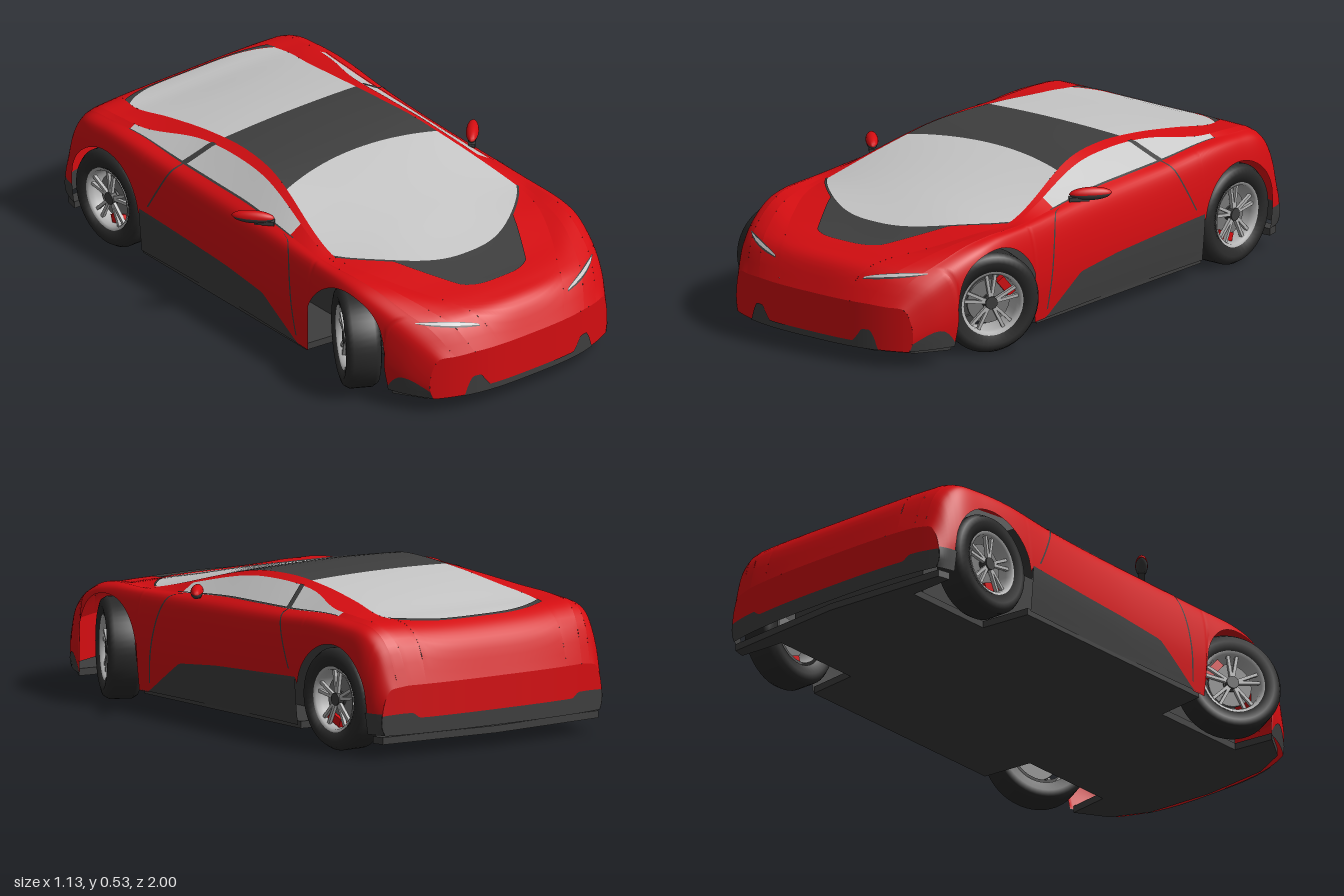
import * as THREE from 'three';

const mat = (name, color, side = THREE.DoubleSide) => {
  const m = new THREE.MeshStandardMaterial({ color, side });
  m.name = name;
  return m;
};
const RED = mat('red paint', 0xd40d11), DARK = mat('dark trim', 0x3e3e3e), GLASS = mat('pale glass', 0xc6c6c6),
  TYRE = mat('tyre rubber', 0x2a2a2a), METAL = mat('wheel metal', 0xb4b4b4), DISC = mat('brake disc', 0x777777);

const lerp = THREE.MathUtils.lerp, smooth = THREE.MathUtils.smoothstep;
const table = (pts, t) => { // piecewise linear, ascending
  if (t <= pts[0][0]) return pts[0][1];
  for (let i = 1; i < pts.length; i++)
    if (t <= pts[i][0]) return lerp(pts[i - 1][1], pts[i][1], (t - pts[i - 1][0]) / (pts[i][0] - pts[i - 1][0]));
  return pts[pts.length - 1][1];
};

// Stations from tail to nose: s, centre y, then x,y of glass edge, rail, window base, shoulder
const STATIONS = [
  [-1, .25, .30, .25, .37, .25, .41, .245, .44, .235],
  [-.96, .37, .30, .37, .38, .37, .42, .365, .455, .34],
  [-.88, .435, .30, .438, .40, .438, .43, .432, .47, .405],
  [-.75, .457, .325, .457, .41, .459, .435, .45, .475, .425],
  [-.6, .487, .305, .481, .40, .468, .425, .452, .475, .43],
  [-.4, .515, .29, .508, .34, .498, .425, .44, .47, .415],
  [-.2, .528, .29, .522, .33, .508, .425, .435, .467, .405],
  [0, .517, .315, .51, .345, .495, .425, .43, .467, .4],
  [.4, .44, .40, .408, .42, .406, .445, .405, .475, .39],
  [.58, .4, .37, .395, .40, .4, .44, .405, .477, .385],
  [.75, .367, .30, .37, .37, .383, .42, .385, .47, .365],
  [.88, .345, .22, .345, .32, .345, .39, .342, .445, .325],
  [.95, .315, .18, .31, .28, .305, .35, .295, .41, .275],
  [1, .22, .14, .22, .24, .22, .31, .215, .36, .21],
];
function station(s) {
  const T = STATIONS, n = T.length;
  let i = 0;
  while (i < n - 2 && s > T[i + 1][0]) i++;
  const h = T[i + 1][0] - T[i][0], t = (s - T[i][0]) / h;
  const slope = (j, c) => {
    const a = T[Math.max(j - 1, 0)], b = T[Math.min(j + 1, n - 1)];
    return (b[c] - a[c]) / (b[0] - a[0]);
  };
  return T[i].map((p, c) => {
    const q = T[i + 1][c], t2 = t * t, t3 = t2 * t;
    return (2 * t3 - 3 * t2 + 1) * p + (t3 - 2 * t2 + t) * h * slope(i, c)
      + (3 * t2 - 2 * t3) * q + (t3 - t2) * h * slope(i + 1, c);
  });
}
// Nose and tail are rounded in plan
const sweep = (s, x) => s - .12 * smooth(s, .5, .95) * Math.abs(x / .45) ** 3
  + .04 * smooth(-s, .8, 1) * Math.abs(x / .48) ** 3;
// Body surface: k runs 0 centre, 1 glass edge, 2 rail, 3 window base, 4 shoulder, 7 sill; negative k mirrors
function S(k, s) {
  const a = station(s), sg = k < 0 ? -1 : 1, x4 = a[8], y4 = a[9], low = s < -.8 ? .08 : .06;
  k = Math.min(Math.abs(k), 7);
  const P = [[0, a[1]], [a[2], a[3]], [a[4], a[5]], [a[6], a[7]], [x4, y4],
    [x4 + .022, y4 * .8], [x4 + .03, y4 * .5], [x4 + .018, low]];
  const i = Math.min(Math.floor(k), 6), f = k - i;
  let x, y;
  if (i < 3) {
    x = lerp(P[i][0], P[i + 1][0], f);
    y = lerp(P[i][1], P[i + 1][1], i ? f : f * f);
  } else {
    const A = P[Math.max(i - 1, 3)], B = P[i], C = P[i + 1], D = P[Math.min(i + 2, 7)];
    [x, y] = [0, 1].map(c => .5 * (2 * B[c] + (C[c] - A[c]) * f + (2 * A[c] - 5 * B[c] + 4 * C[c] - D[c]) * f * f
      + (3 * B[c] - A[c] - 3 * C[c] + D[c]) * f ** 3));
  }
  return [sg * x, y, sweep(s, x)];
}
// k on the flank where the height is y
function kAt(s, y) {
  let a = 3.5, b = 7;
  for (let i = 0; i < 22; i++) { const m = (a + b) / 2; S(m, s)[1] > y ? a = m : b = m; }
  return b;
}
const FRONT_Z = .58, REAR_Z = -.71, AXLE_Y = .177;
function paintLow(s) { // lower edge of the red flank, with wheel arches
  const z = S(5.5, s)[2];
  for (const c of [FRONT_Z, REAR_Z])
    if (Math.abs(z - c) < .19) return AXLE_Y + Math.sqrt(.19 ** 2 - (z - c) ** 2);
  if (z > .7) return .065;
  if (z < -.85) return .15;
  return table([[-.52, .225], [-.05, .2], [.15, .18], [.33, .06]], z);
}
// Front or rear face hanging from the end section
function endFace(k, v, s) {
  const p = S(k, s), e = S(4 + 3 * v, s), e0 = S(4, s), low = S(7, s)[1];
  const x = p[0] * e[0] / e0[0];
  return [x, p[1] + (e[1] - e0[1]) * (p[1] - low) / (e0[1] - low), sweep(s, x)];
}

export function createModel() {
  const root = new THREE.Group();
  const add = (name, geo, m, parent = root) => {
    const mesh = new THREE.Mesh(geo, m);
    mesh.name = name;
    parent.add(mesh);
    return mesh;
  };
  function grid(name, m, nu, nv, fn, flip = false) {
    const pos = [], idx = [], w = nu + 1;
    for (let j = 0; j <= nv; j++) for (let i = 0; i <= nu; i++) pos.push(...fn(i / nu, j / nv));
    for (let j = 0; j < nv; j++) for (let i = 0; i < nu; i++) {
      const a = j * w + i, b = a + 1, c = a + w, d = c + 1;
      idx.push(...(flip ? [a, c, b, b, c, d] : [a, b, c, b, d, c]));
    }
    const g = new THREE.BufferGeometry();
    g.setAttribute('position', new THREE.Float32BufferAttribute(pos, 3));
    g.setIndex(idx);
    g.computeVertexNormals();
    return add(name, g, m);
  }
  const lift = (p, o) => [p[0] + Math.sign(p[0]) * o * .7, p[1] + o * .7, p[2]];
  // Panel across the centre line, between two edges s = f(k)
  const across = (name, m, K, a, b, nv, o = 0) => grid(name, m, 28, nv, (u, v) => {
    const k = lerp(-K, K, u);
    return lift(S(k, lerp(a(k), b(k), v)), o);
  });
  // Mirrored pair of panels; fn returns [k, s]
  const pair = (name, m, nu, nv, fn, o = 0) => [1, -1].forEach(sg =>
    grid((sg > 0 ? 'left ' : 'right ') + name, m, nu, nv, (u, v) => {
      const [k, s] = fn(u, v);
      return lift(S(sg * k, s), o);
    }, sg < 0));

  // Centre panels from nose to tail
  const screen = k => .66 - .24 * Math.abs(k) ** 2.5, roofA = k => .02 + .05 * k * k,
    roofB = () => -.32, back = k => -.87 + .07 * k ** 4;
  across('hood', RED, 1, () => 1, screen, 28);
  across('windscreen', GLASS, 1, screen, roofA, 20);
  across('roof', DARK, 1, roofA, roofB, 10);
  across('rear window', GLASS, 1, roofB, back, 16);
  across('tail deck', RED, 1, back, () => -1, 14);
  across('windscreen seal', DARK, 1, k => screen(k) + .006, k => screen(k) - .008, 1, .003);
  across('rear window seal', DARK, 1, k => back(k) + .004, k => back(k) - .008 - .025 * k ** 4, 1, .003);
  grid('hood vent', DARK, 20, 12, (u, v) => {
    const t = 2 * u - 1, k = t * (.5 + .2 * v);
    return lift(S(k, lerp(.82 - .03 * t ** 4, screen(k), v)), .005);
  });

  // Roof rails, side windows and flanks
  pair('roof rail', RED, 4, 90, (u, v) => [1 + u, 1 - 2 * v]);
  pair('front fender top', RED, 4, 40, (u, v) => [2 + u, lerp(1, .22, v)]);
  pair('side window', GLASS, 4, 40, (u, v) => [2 + u, lerp(.22, -.66, v)]);
  pair('rear fender top', RED, 4, 20, (u, v) => [2 + u, lerp(-.66, -1, v)]);
  pair('flank', RED, 18, 180, (u, v) => {
    const s = 1 - 2 * v;
    return [lerp(3, kAt(s, paintLow(s)), u), s];
  });
  pair('window pillar', DARK, 6, 2, (u, v) => [1.9 + 1.1 * u, -.31 - .05 * u - .025 * v], .003);
  pair('window sill seal', DARK, 1, 30, (u, v) => [2.95 + .12 * u, lerp(.24, -.66, v)], .003);
  pair('rear door seam', DARK, 16, 1, (u, v) => [3 + 2.7 * u, -.37 - .1 * u * u - .007 * v], .002);
  pair('front door seam', DARK, 16, 1, (u, v) => [3.3 + 3.4 * u, .2 + .13 * Math.sqrt(u) - .007 * v], .002);
  pair('side skirt', DARK, 8, 50, (u, v) => {
    const s = lerp(.37, -.515, v);
    return [lerp(kAt(s, paintLow(s)) - .02, 7, u), s];
  }, .004);
  pair('rear bumper corner', DARK, 4, 8, (u, v) => {
    const s = lerp(-.925, -1, v);
    return [lerp(kAt(s, .155), 7, u), s];
  }, .002);
  pair('front bumper corner', DARK, 4, 8, (u, v) => {
    const s = lerp(.9, 1, v);
    return [lerp(6.8 - .7 * Math.sin(v * 2.4), 7, u), s];
  }, .003);
  for (const [name, m, w, o] of [['headlight surround', DARK, .02, .002], ['headlight', GLASS, .011, .005]])
    pair(name, m, 16, 2, (u, v) =>
      [1.2 + 2.1 * u, lerp(.96, .917, u) + w * (.5 - v) * Math.sin(Math.PI * (.08 + .84 * u))], o);

  // Nose face with intake trim, tail face with dark valance
  const face = (name, m, s, K, a, b, o) => grid(name, m, 70, 10, (u, v) => {
    const k = lerp(-K, K, u), p = endFace(k, lerp(a(k), b(k), v), s);
    return [p[0], p[1], p[2] + s * o];
  }, s > 0);
  const one = () => 1, zero = () => 0;
  const valance = k => .6 - .08 * smooth(Math.abs(k), 1, 1.5);
  face('nose', RED, 1, 4, zero, one, 0);
  face('front intake trim', DARK, 1, 2.4, k => table([[1.3, .82], [1.6, .56], [1.9, .56], [2.4, 1]], Math.abs(k)), one, .004);
  face('tail', RED, -1, 4, zero, valance, 0);
  face('rear valance', DARK, -1, 4, valance, one, 0);

  // Floor, waisted at the wheels, and inner tub
  const half = [[0, .98], [.25, .96], [.38, .9], [.45, .79], [.3, .77], [.3, .39], [.485, .37], [.485, -.52],
    [.3, -.54], [.3, -.9], [.47, -.91], [.46, -.955], [0, -.99]];
  const outline = [...half, ...half.slice(1, -1).reverse().map(([x, z]) => [-x, z])];
  const floor = new THREE.ExtrudeGeometry(new THREE.Shape(outline.map(([x, z]) => new THREE.Vector2(x, -z))),
    { depth: .025, bevelEnabled: false });
  add('floor', floor.rotateX(-Math.PI / 2), DARK).position.y = .05;
  add('inner tub', new THREE.BoxGeometry(.58, .26, 1.62), DARK).position.set(0, .2, -.03);

  // Door mirrors
  for (const sg of [1, -1]) {
    const g = new THREE.Group();
    g.name = sg > 0 ? 'left mirror' : 'right mirror';
    const cap = (top) => new THREE.SphereGeometry(1, 20, 8, 0, 2 * Math.PI, top ? 0 : Math.PI / 2, Math.PI / 2);
    add('mirror cap', cap(true), RED, g).scale.set(.075, .024, .022);
    add('mirror base', cap(false), DARK, g).scale.set(.072, .022, .021);
    add('mirror stem', new THREE.BoxGeometry(.07, .014, .025), DARK, g).position.set(-sg * .04, -.016, 0);
    g.position.set(sg * .482, .442, .075);
    g.rotation.y = sg * .85;
    root.add(g);
  }

  // Wheels: axis along x, outer face towards local +x
  const V = (x, y) => new THREE.Vector2(x, y);
  const tyreGeo = new THREE.LatheGeometry([V(.112, -.05), V(.145, -.062), V(.166, -.056), V(.177, -.038),
    V(.177, .038), V(.166, .056), V(.145, .062), V(.112, .05), V(.108, 0), V(.112, -.05)], 48).rotateZ(-Math.PI / 2);
  const rimGeo = new THREE.LatheGeometry([V(.102, -.05), V(.1, .03), V(.103, .05), V(.114, .054)], 48).rotateZ(-Math.PI / 2);
  const drum = (r, w) => new THREE.CylinderGeometry(r, r, w, 32).rotateZ(Math.PI / 2);
  function wheel(name, sg, z, steer) {
    const g = new THREE.Group();
    g.name = name;
    add('tyre', tyreGeo, TYRE, g);
    add('rim', rimGeo, METAL, g);
    add('brake disc', drum(.078, .01), DISC, g).position.x = .012;
    add('axle', drum(.025, .11), DARK, g).position.x = -.03;
    add('hub', drum(.022, .03), DARK, g).position.x = .032;
    for (let i = 0; i < 5; i++) for (const d of [-.16, .16]) {
      const spoke = new THREE.BoxGeometry(.012, .088, .011).translate(.036, .06, 0);
      add('spoke', spoke.rotateX(i * Math.PI * .4 + d), METAL, g);
    }
    const caliper = add('brake caliper', new THREE.BoxGeometry(.03, .03, .07), RED, g);
    const a = z > 0 ? .9 : 3.5;
    caliper.position.set(.015, .078 * Math.cos(a), -sg * .078 * Math.sin(a));
    caliper.rotation.x = -sg * a;
    g.position.set(sg * .435, AXLE_Y, z);
    g.rotation.y = (sg > 0 ? 0 : Math.PI) + steer;
    root.add(g);
  }
  for (const sg of [1, -1]) {
    const side = sg > 0 ? 'left' : 'right';
    wheel(side + ' front wheel', sg, FRONT_Z, -.5);
    wheel(side + ' rear wheel', sg, REAR_Z, 0);
  }
  return root;
}
